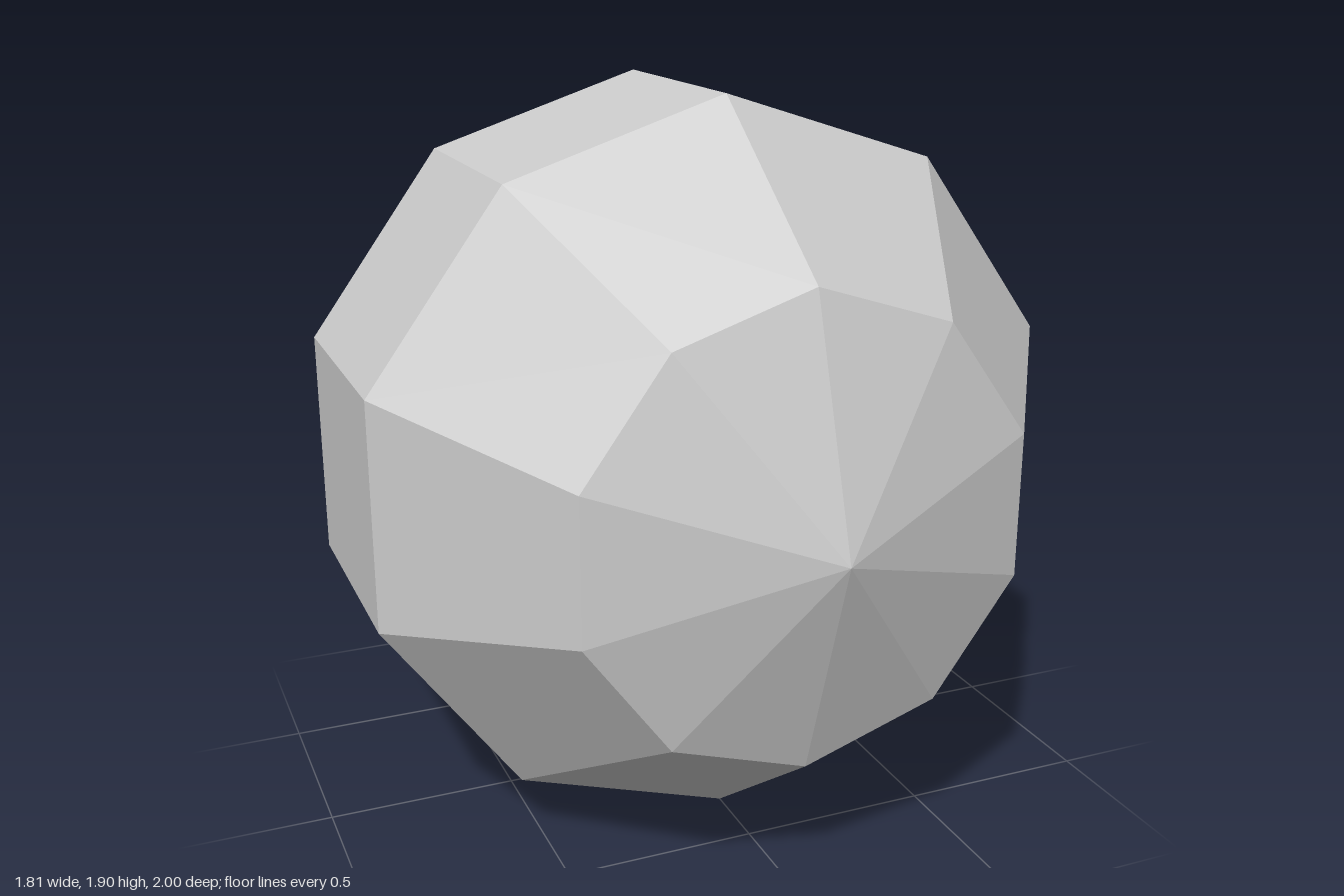
import * as THREE from 'three';

export function createModel() {
  const group = new THREE.Group();

  // Low-poly ball: 10 sides, 5 bands, poles pointing front and back
  const geometry = new THREE.SphereGeometry(1, 10, 5);
  geometry.rotateY(Math.PI / 2); // puts a ridge at the very top and bottom
  geometry.rotateX(Math.PI / 2); // lays the pole axis along z

  const material = new THREE.MeshStandardMaterial({ color: 0xcccccc, flatShading: true });
  const ball = new THREE.Mesh(geometry, material);
  ball.name = 'ball';
  ball.position.y = Math.sin(Math.PI * 2 / 5); // rests its lowest ridge on the ground
  group.add(ball);

  return group;
}
